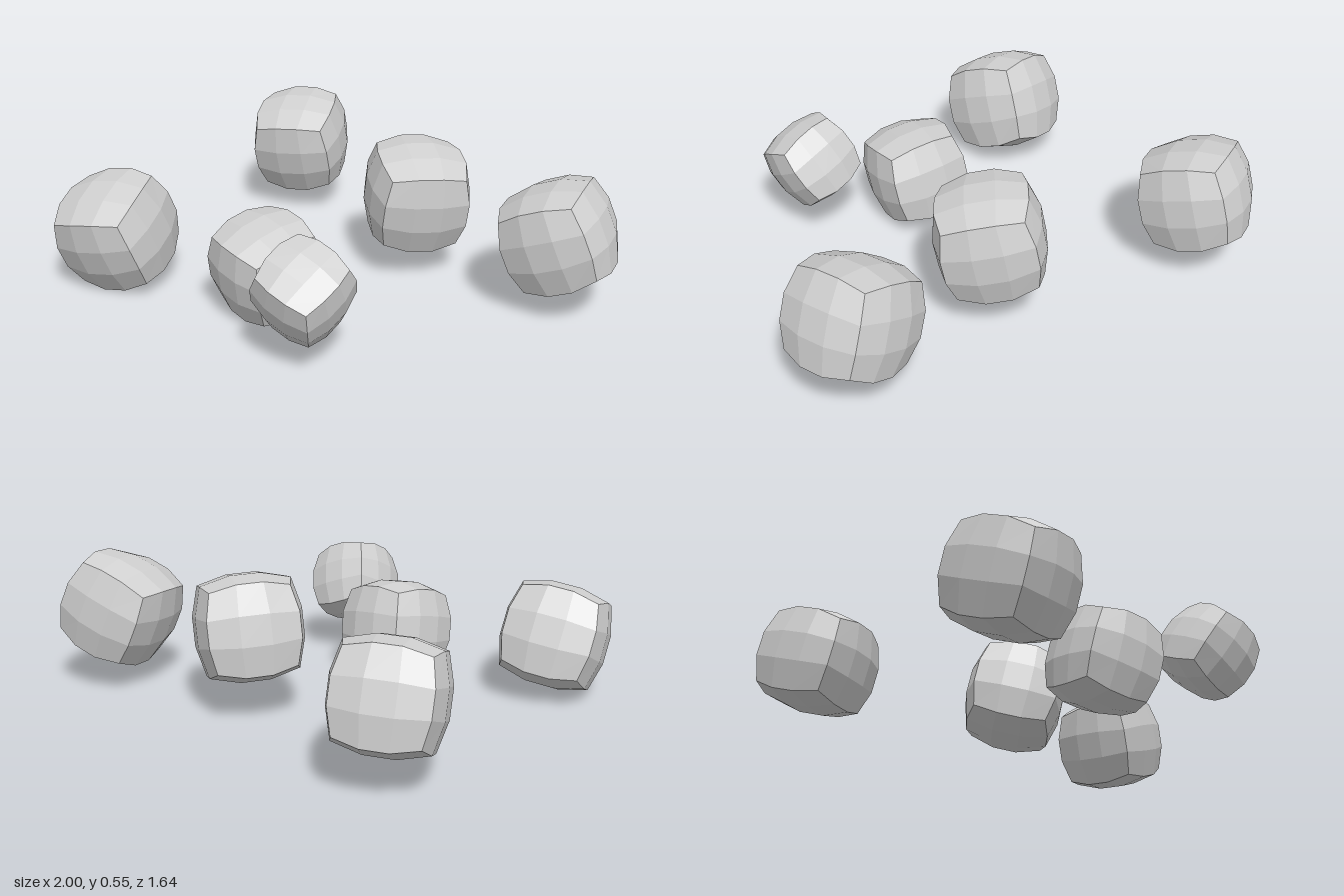
import * as THREE from 'three';

// Cube of 3 x 3 facets per side with bulging faces and pulled-in corners
function boulderGeometry(size) {
  const bulge = 0.2;
  const box = new THREE.BoxGeometry(2, 2, 2, 3, 3, 3);
  const pos = box.attributes.position;
  const pull = (a, b, c) => (size * a) / (1 + bulge * (b * b + c * c));
  for (let i = 0; i < pos.count; i++) {
    const x = pos.getX(i), y = pos.getY(i), z = pos.getZ(i);
    pos.setXYZ(i, pull(x, y, z), pull(y, z, x), pull(z, x, y));
  }
  // separate facets for flat normals
  const geometry = box.toNonIndexed();
  geometry.computeVertexNormals();
  return geometry;
}

// Orientation from the directions of the boulder's side and top
function tilt(side, top) {
  const y = new THREE.Vector3(...top).normalize();
  const x = new THREE.Vector3(...side);
  x.addScaledVector(y, -x.dot(y)).normalize();
  const z = new THREE.Vector3().crossVectors(x, y);
  return new THREE.Matrix4().makeBasis(x, y, z);
}

export function createModel() {
  const group = new THREE.Group();
  group.name = 'boulders';
  const stone = new THREE.MeshStandardMaterial({ color: 0xd0d0d0 });
  stone.name = 'light grey stone';

  const boulders = [
    { name: 'backRightBoulder', size: 0.212, at: [-0.755, 0.315, -0.573], side: [0.84, 0.09, -0.51], top: [0.1, 0.95, 0.28] },
    { name: 'backMiddleBoulder', size: 0.216, at: [0.125, 0.34, -0.437], side: [0.83, -0.2, 0.52], top: [0.2, 0.97, 0.06] },
    { name: 'backLeftBoulder', size: 0.214, at: [0.768, 0.32, -0.573], side: [0.9, 0.29, -0.33], top: [-0.33, 0.92, 0.2] },
    { name: 'frontRightBoulder', size: 0.217, at: [-0.592, 0.24, 0.577], side: [0.91, 0.16, -0.38], top: [0, 0.92, 0.39] },
    { name: 'frontMiddleBoulder', size: 0.198, at: [0.032, 0.208, 0.303], side: [0.98, -0.13, 0.03], top: [0.12, 0.96, 0.21] },
    { name: 'frontLeftBoulder', size: 0.167, at: [0.433, 0.3, 0.463], side: [0.91, -0.34, -0.2], top: [0.4, 0.82, 0.4] },
  ];

  for (const { name, size, at, side, top } of boulders) {
    const boulder = new THREE.Mesh(boulderGeometry(size), stone);
    boulder.name = name;
    boulder.position.set(...at);
    boulder.quaternion.setFromRotationMatrix(tilt(side, top));
    group.add(boulder);
  }
  return group;
}
